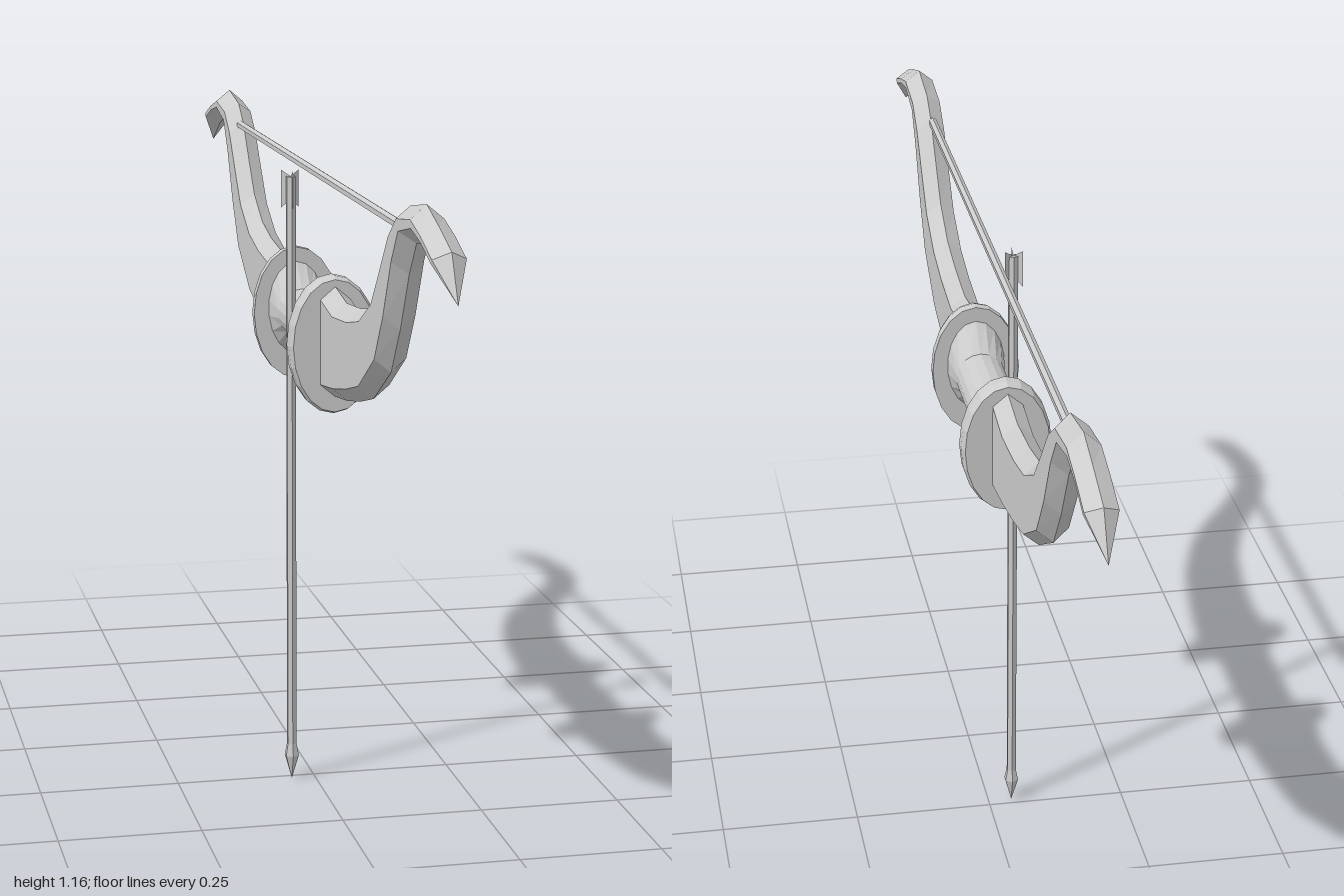
import * as THREE from 'three';

const mat = new THREE.MeshStandardMaterial({ color: 0xcccccc, flatShading: true });
const thin = new THREE.MeshStandardMaterial({ color: 0xcccccc, flatShading: true, side: THREE.DoubleSide });

// Skin a series of rings (clockwise seen from +z, running towards +z)
function loft(rings) {
  const n = rings[0].length, index = [];
  for (let i = 0; i < rings.length - 1; i++) {
    for (let k = 0; k < n; k++) {
      const a = i * n + k, b = i * n + (k + 1) % n, c = b + n, d = a + n;
      index.push(a, d, b, b, d, c);
    }
  }
  const geo = new THREE.BufferGeometry();
  geo.setAttribute('position', new THREE.Float32BufferAttribute(rings.flat(2), 3));
  geo.setIndex(index);
  geo.computeVertexNormals();
  return geo;
}

// Elliptical ring facing z
function ellipse(z, cy, rx, ry, n = 18) {
  return Array.from({ length: n }, (_, i) => {
    const t = i / n * Math.PI * 2;
    return [Math.sin(t) * rx, cy + Math.cos(t) * ry, z];
  });
}

// Six-sided ring with a ridge on the top and bottom edges
function limbRing([tz, ty, bz, by]) {
  const len = Math.hypot(tz - bz, ty - by);
  const f = len ? Math.min(0.022 / len, 0.4) : 0;
  const w = len ? 0.026 : 0;
  const at = (x, t) => [x, ty + (by - ty) * t, tz + (bz - tz) * t];
  return [at(0, 0), at(w, f), at(w, 1 - f), at(0, 1), at(-w, 1 - f), at(-w, f)];
}

export function createModel() {
  const model = new THREE.Group();
  const add = (name, geo, parent = model, material = mat) => {
    const mesh = new THREE.Mesh(geo, material);
    mesh.name = name;
    parent.add(mesh);
    return mesh;
  };

  // Limb stations: top edge z, y and bottom edge z, y
  const limbGeo = loft([
    [0.165, 0.94, 0.165, 0.745],
    [0.27, 0.925, 0.28, 0.76],
    [0.38, 0.935, 0.38, 0.78],
    [0.47, 0.953, 0.47, 0.803],
    [0.55, 0.995, 0.59, 0.87],
    [0.605, 1.055, 0.65, 0.95],
    [0.66, 1.118, 0.705, 1.045],
    [0.71, 1.152, 0.75, 1.1],
    [0.81, 1.168, 0.82, 1.112],
    [0.88, 1.147, 0.875, 1.105],
    [0.96, 1.12, 0.925, 1.088],
    [1, 1.048, 1, 1.048],
  ].map(limbRing));

  // Oval guard plate, closed on both faces
  const guardGeo = loft([
    ellipse(0.147, 0.835, 0, 0, 20), ellipse(0.147, 0.835, 0.078, 0.12, 20),
    ellipse(0.166, 0.835, 0.078, 0.12, 20), ellipse(0.181, 0.835, 0.073, 0.115, 20),
    ellipse(0.181, 0.835, 0, 0, 20),
  ]);

  // Two matching halves, one turned to face the other way
  for (const [side, turn] of [['front', 0], ['back', Math.PI]]) {
    const half = new THREE.Group();
    half.name = side + 'Half';
    half.rotation.y = turn;
    add(side + 'Limb', limbGeo, half);
    add(side + 'Guard', guardGeo, half);
    model.add(half);
  }

  // Grip flaring into the guards
  add('grip', loft([
    ellipse(-0.15, 0.845, 0.052, 0.086), ellipse(-0.097, 0.843, 0.044, 0.044),
    ellipse(0.097, 0.843, 0.044, 0.044), ellipse(0.15, 0.845, 0.052, 0.086),
  ]));

  // Bowstring
  const string = add('bowstring', new THREE.CylinderGeometry(0.008, 0.008, 1.34, 6));
  string.rotation.x = Math.PI / 2;
  string.position.set(-0.004, 1.115, 0);

  // Arrow hanging point down beside the grip
  const arrow = new THREE.Group();
  arrow.name = 'arrow';
  arrow.position.set(-0.043, 0, 0.014);
  model.add(arrow);
  add('arrowShaft', new THREE.CylinderGeometry(0.009, 0.009, 1.045, 6), arrow).position.y = 0.5825;
  const head = [[0, 0.005], [0.0135, 0.05], [0.009, 0.072]];
  add('arrowHead', new THREE.LatheGeometry(head.map(([r, y]) => new THREE.Vector2(r, y)), 6), arrow);

  // Three swept feathers
  const fin = new THREE.Shape([[0, 1.065], [0.018, 1.05], [0.018, 1.116], [0, 1.105]]
    .map(([x, y]) => new THREE.Vector2(x, y)));
  for (let i = 0; i < 3; i++) {
    const feather = add('feather' + (i + 1), new THREE.ShapeGeometry(fin), arrow, thin);
    feather.rotation.y = Math.PI / 6 + i * Math.PI * 2 / 3;
  }
  return model;
}
